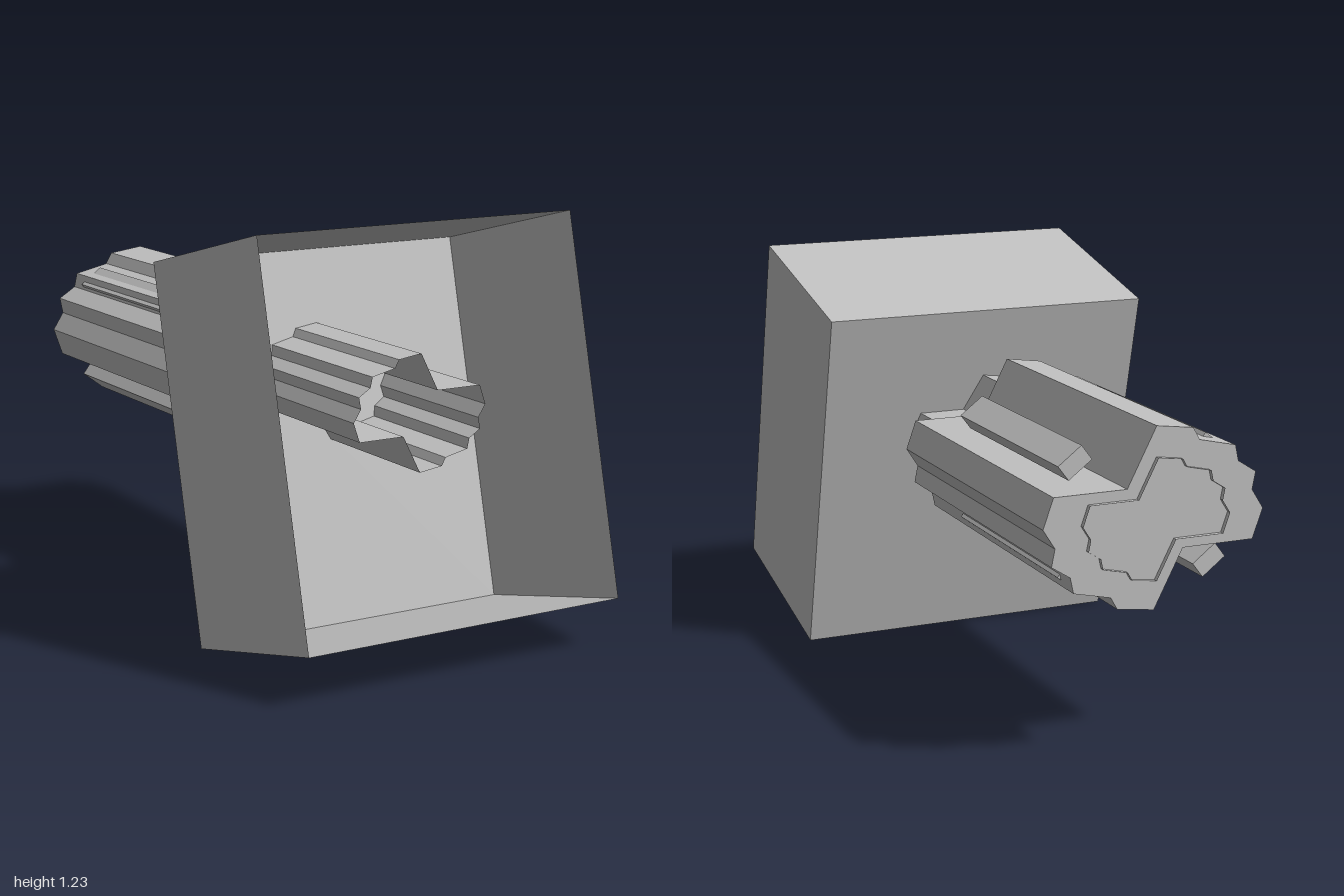
import * as THREE from 'three';

const grey = new THREE.MeshStandardMaterial({ color: 0xc0c0c0, flatShading: true, side: THREE.DoubleSide });
grey.name = 'light grey';

const AXIS_Y = 0.7;

// Half of the notched section; the other half is the same turned by 180 degrees.
const half = [
  [0, 0.255], [0.085, 0.09], [0.30, 0.09], [0.33, 0.005], [0.295, -0.05], [0.305, -0.10],
  [0.25, -0.135], [0.24, -0.18], [0.13, -0.205], [0.11, -0.24],
];

function sectionShape(scale) {
  const points = [...half, ...half.map(([x, y]) => [-x, -y])];
  return new THREE.Shape(points.map(([x, y]) => new THREE.Vector2(x * scale, y * scale)));
}

function extrudeSection(scale, zBack, zFront) {
  const geometry = new THREE.ExtrudeGeometry(sectionShape(scale), { depth: zFront - zBack, bevelEnabled: false });
  return geometry.translate(0, AXIS_Y, zBack);
}

// Keep only the side walls of an extrusion.
function withoutCaps(geometry) {
  const start = geometry.groups[1].start;
  const open = new THREE.BufferGeometry();
  for (const name of ['position', 'normal']) {
    const array = geometry.getAttribute(name).array.slice(start * 3);
    open.setAttribute(name, new THREE.BufferAttribute(array, 3));
  }
  return open;
}

function addMesh(group, name, geometry) {
  const mesh = new THREE.Mesh(geometry, grey);
  mesh.name = name;
  group.add(mesh);
  return mesh;
}

export function createModel() {
  const model = new THREE.Group();
  model.name = 'model';

  // Tilted thin-walled housing, open at the front
  const box = new THREE.BoxGeometry(1.03, 1.118, 0.6185);
  const index = Array.from(box.index.array);
  index.splice(24, 6);
  box.setIndex(index);
  box.clearGroups();
  const housing = addMesh(model, 'housing', box);
  housing.position.set(0, 0.6175, 0.565);
  housing.rotation.x = -Math.atan2(0.15, 0.6);

  // Notched barrel behind the housing, and the open tube running through it
  addMesh(model, 'barrel', extrudeSection(1, -0.985, 0));
  addMesh(model, 'innerTube', withoutCaps(extrudeSection(0.667, -1, 0.745)));

  // Four slanted bars along the barrel
  for (const sx of [1, -1]) {
    for (const sy of [1, -1]) {
      const bar = addMesh(model, 'bar', new THREE.BoxGeometry(0.086, 0.052, 0.67));
      bar.position.set(sx * 0.205, AXIS_Y + sy * 0.158, -0.58);
      bar.rotation.z = -sx * sy * 0.65;
    }
  }
  return model;
}
